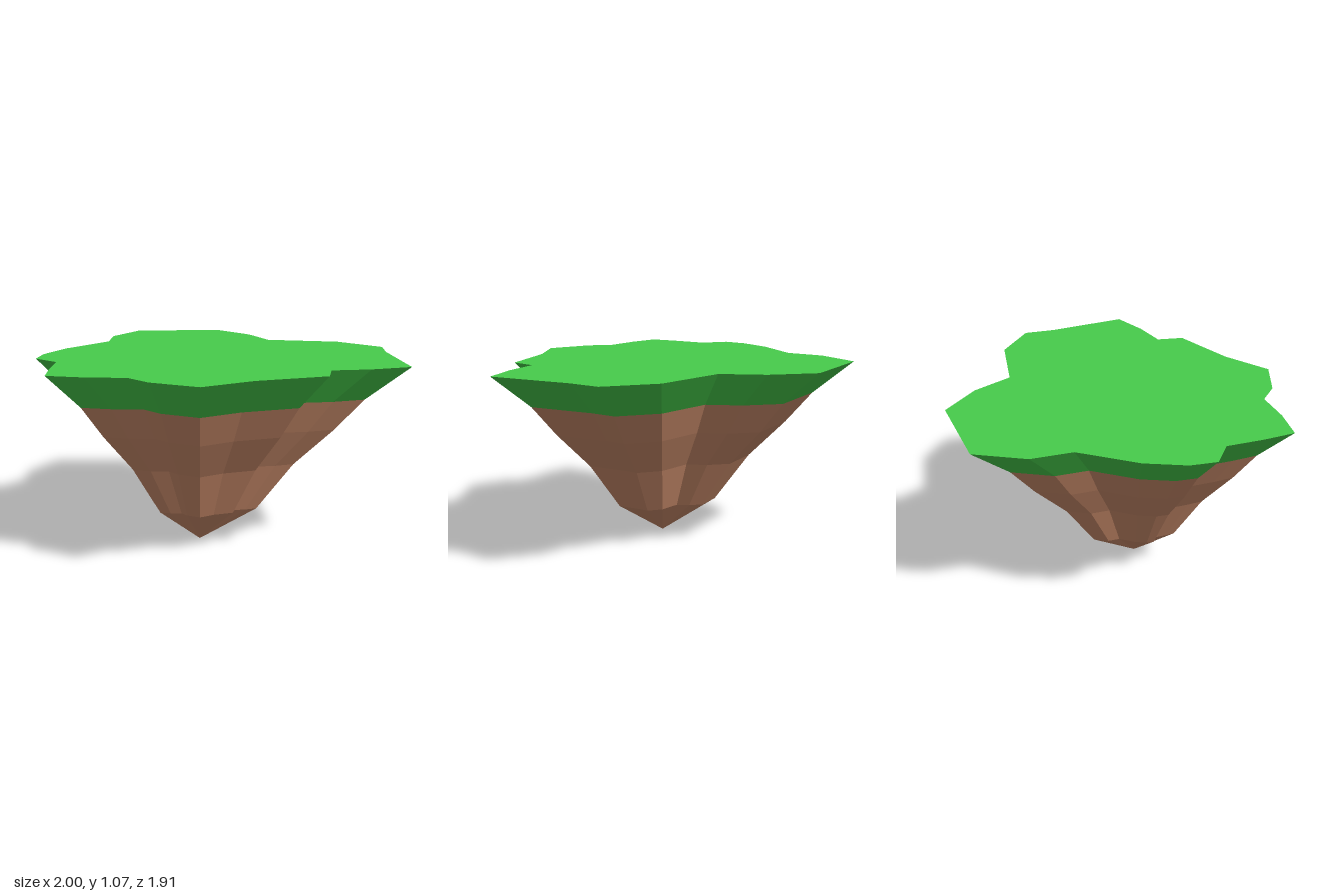
import * as THREE from 'three';

// Rim of the island, clockwise seen from above: [x, z]
const RIM = [
  [-0.23, -0.96], [0.28, -0.83], [0.41, -0.58], [0.45, -0.33], [0.83, -0.14], [1.0, 0.12],
  [0.94, 0.29], [0.85, 0.76], [0.62, 0.765], [0.41, 0.735], [0.34, 0.875], [-0.05, 0.885],
  [-0.34, 0.955], [-0.545, 0.78], [-0.62, 0.64], [-0.82, 0.57], [-1.0, 0.475], [-0.96, 0.3],
  [-0.9, 0.1], [-0.995, -0.04], [-0.94, -0.175], [-0.79, -0.345], [-0.51, -0.54], [-0.44, -0.755],
];

// The rock narrows towards this point
const TIP = { x: -0.125, z: 0.15 };

// Levels from top to bottom: [height, scale of the rim about the tip]
const LEVELS = [[1.067, 1], [0.88, 0.795], [0.705, 0.66], [0.493, 0.47], [0.215, 0.29], [0, 0]];

const ring = ([y, s]) => RIM.map(([x, z]) => [TIP.x + (x - TIP.x) * s, y, TIP.z + (z - TIP.z) * s]);

// Flat-faced wall joining successive levels
function wall(levels) {
  const positions = [];
  for (let k = 0; k < levels.length - 1; k++) {
    const up = ring(levels[k]);
    const low = ring(levels[k + 1]);
    for (let i = 0; i < RIM.length; i++) {
      const j = (i + 1) % RIM.length;
      positions.push(...low[j], ...up[i], ...up[j]);
      if (levels[k + 1][1] > 0) positions.push(...low[j], ...low[i], ...up[i]);
    }
  }
  const geometry = new THREE.BufferGeometry();
  geometry.setAttribute('position', new THREE.Float32BufferAttribute(positions, 3));
  geometry.computeVertexNormals();
  return geometry;
}

export function createModel() {
  const group = new THREE.Group();
  group.name = 'floatingIsland';
  const grass = new THREE.MeshStandardMaterial({ color: 0x47cc4b, flatShading: true });
  const soil = new THREE.MeshStandardMaterial({ color: 0xcb8c6b, flatShading: true });

  const add = (name, geometry, material) => {
    const mesh = new THREE.Mesh(geometry, material);
    mesh.name = name;
    group.add(mesh);
  };

  // Flat grass surface
  const outline = new THREE.Shape(RIM.map(([x, z]) => new THREE.Vector2(x, -z)));
  const top = new THREE.ShapeGeometry(outline).rotateX(-Math.PI / 2).translate(0, LEVELS[0][0], 0);
  add('grassTop', top, grass);

  // Grass edge and the tapering soil below it
  add('grassEdge', wall(LEVELS.slice(0, 2)), grass);
  add('soil', wall(LEVELS.slice(1)), soil);

  return group;
}
